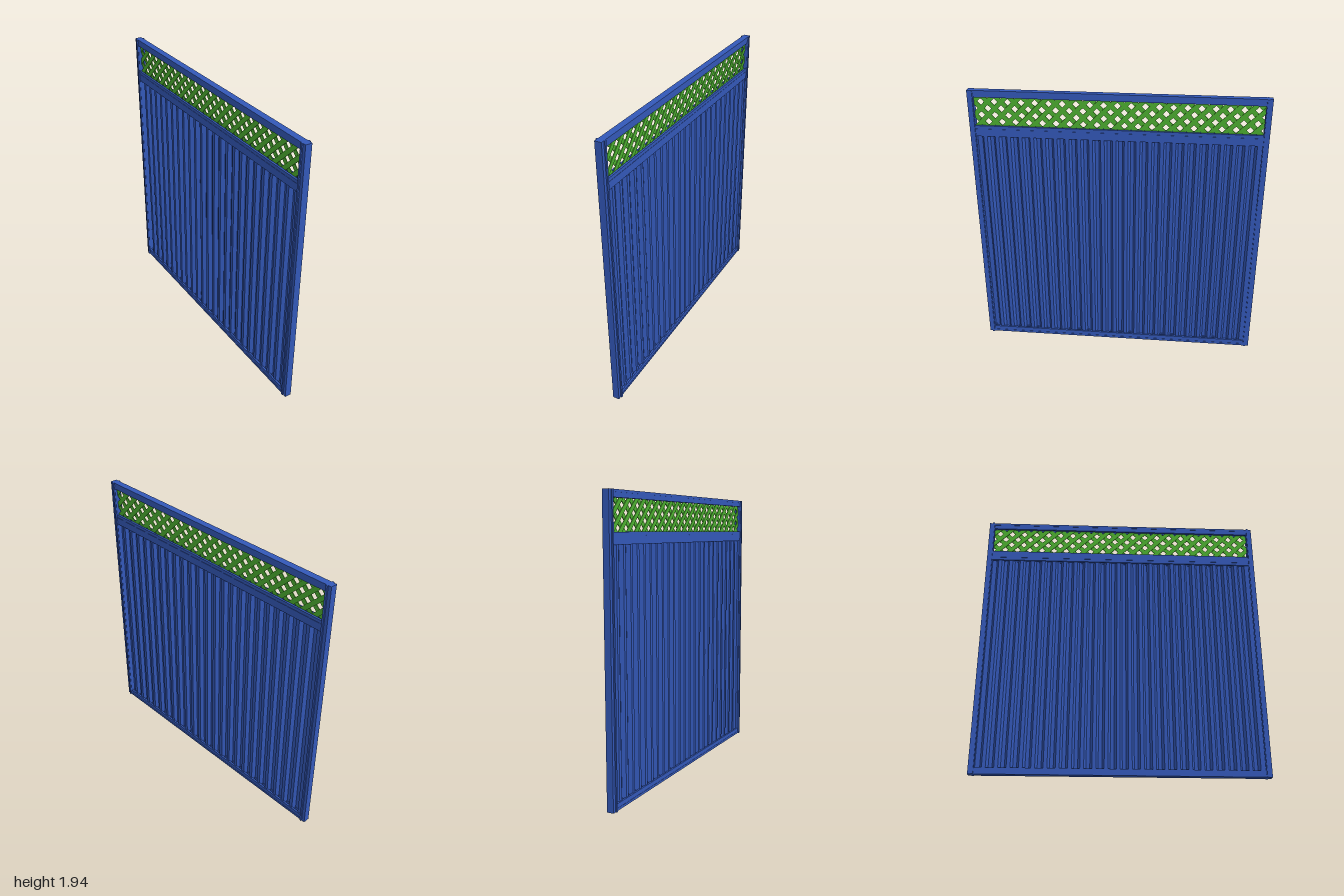
import * as THREE from 'three';

const blue = new THREE.MeshStandardMaterial({ color: 0x3358b8 });
const green = new THREE.MeshStandardMaterial({ color: 0x4caf30 });

const HALF = 0.96;      // half of the clear span between the posts
const HEIGHT = 1.94;

function part(parent, name, geometry, material = blue) {
  const mesh = new THREE.Mesh(geometry, material);
  mesh.name = name;
  parent.add(mesh);
  return mesh;
}

function box(parent, name, sx, sy, sz, x, y, z) {
  part(parent, name, new THREE.BoxGeometry(sx, sy, sz)).position.set(x, y, z);
}

// Keep the part of a polygon where axis * sign <= limit
function clip(poly, axis, sign, limit) {
  const out = [];
  poly.forEach((p, i) => {
    const q = poly[(i + 1) % poly.length];
    const a = limit - sign * p[axis], b = limit - sign * q[axis];
    if (a >= 0) out.push(p);
    if (a * b < 0) out.push(p.clone().lerp(q, a / (a - b)));
  });
  return out;
}

// Post: a plain channel with a raised bead beside its inner edge
function post(parent, side) {
  const g = new THREE.Group();
  g.name = side > 0 ? 'frontPost' : 'backPost';
  box(g, 'postBody', 0.046, HEIGHT, 0.04, 0, HEIGHT / 2, side * 0.98);
  box(g, 'postBead', 0.062, HEIGHT, 0.014, 0, HEIGHT / 2, side * 0.97);
  parent.add(g);
}

// Rail: a channel whose lips are a little narrower than its web
function rail(parent, name, y0, y1, webAtTop) {
  const g = new THREE.Group();
  g.name = name;
  const h = y1 - y0, web = 0.016;
  const webY = webAtTop ? y1 - web / 2 : y0 + web / 2;
  box(g, 'railWeb', 0.046, web, HALF * 2, 0, webY, 0);
  const lipY = webAtTop ? y0 + (h - web) / 2 : y1 - (h - web) / 2;
  for (const s of [-1, 1]) box(g, 'railLip', 0.014, h - web, HALF * 2, s * 0.014, lipY, 0);
  parent.add(g);
}

// Trapezoid corrugated sheet between the bottom and middle rails
function sheet(parent) {
  const period = 0.08, depth = 0.012, slope = 0.015, t = 0.002;
  const line = [];
  for (let i = -24; i < 24; i++) {
    const z = (i + 0.5) * period / 2, x = (i % 2 === 0 ? 1 : -1) * depth;
    const half = period / 4 - slope / 2;
    line.push([x, z - half], [x, z + half]);
  }
  line[0][1] = -HALF;
  line[line.length - 1][1] = HALF;
  const outline = [
    ...line.map(([x, z]) => new THREE.Vector2(x + t, -z)),
    ...line.slice().reverse().map(([x, z]) => new THREE.Vector2(x - t, -z)),
  ];
  const geo = new THREE.ExtrudeGeometry(new THREE.Shape(outline), { depth: 1.6, bevelEnabled: false });
  geo.rotateX(-Math.PI / 2);
  part(parent, 'corrugatedPanel', geo).position.y = 0.03;
}

// Two layers of diagonal slats, trimmed to the opening
function lattice(parent) {
  const g = new THREE.Group();
  g.name = 'lattice';
  const pitch = 0.0917, w = 0.0225, low = 1.685, high = 1.9, mid = 1.858, t = 0.005;
  for (const dir of [-1, 1]) {
    for (let k = -14; k <= 14; k++) {
      const c = (k + 0.5) * pitch;
      const at = (y, d) => new THREE.Vector2(c + d + dir * (y - mid), y);
      let poly = [at(low, -w), at(low, w), at(high, w), at(high, -w)];
      poly = clip(clip(poly, 'x', 1, HALF), 'x', -1, HALF);
      if (poly.length < 3) continue;
      const geo = new THREE.ExtrudeGeometry(new THREE.Shape(poly), { depth: t, bevelEnabled: false });
      geo.translate(0, 0, dir > 0 ? 0 : -t);
      geo.rotateY(Math.PI / 2);
      part(g, 'latticeSlat', geo, green);
    }
  }
  parent.add(g);
}

export function createModel() {
  const fence = new THREE.Group();
  fence.name = 'fencePanel';
  for (const side of [-1, 1]) post(fence, side);
  rail(fence, 'bottomRail', 0, 0.045, false);
  rail(fence, 'middleRailLower', 1.62, 1.657, true);
  rail(fence, 'middleRailUpper', 1.657, 1.695, false);
  rail(fence, 'topRail', 1.893, HEIGHT, true);
  sheet(fence);
  lattice(fence);
  return fence;
}
